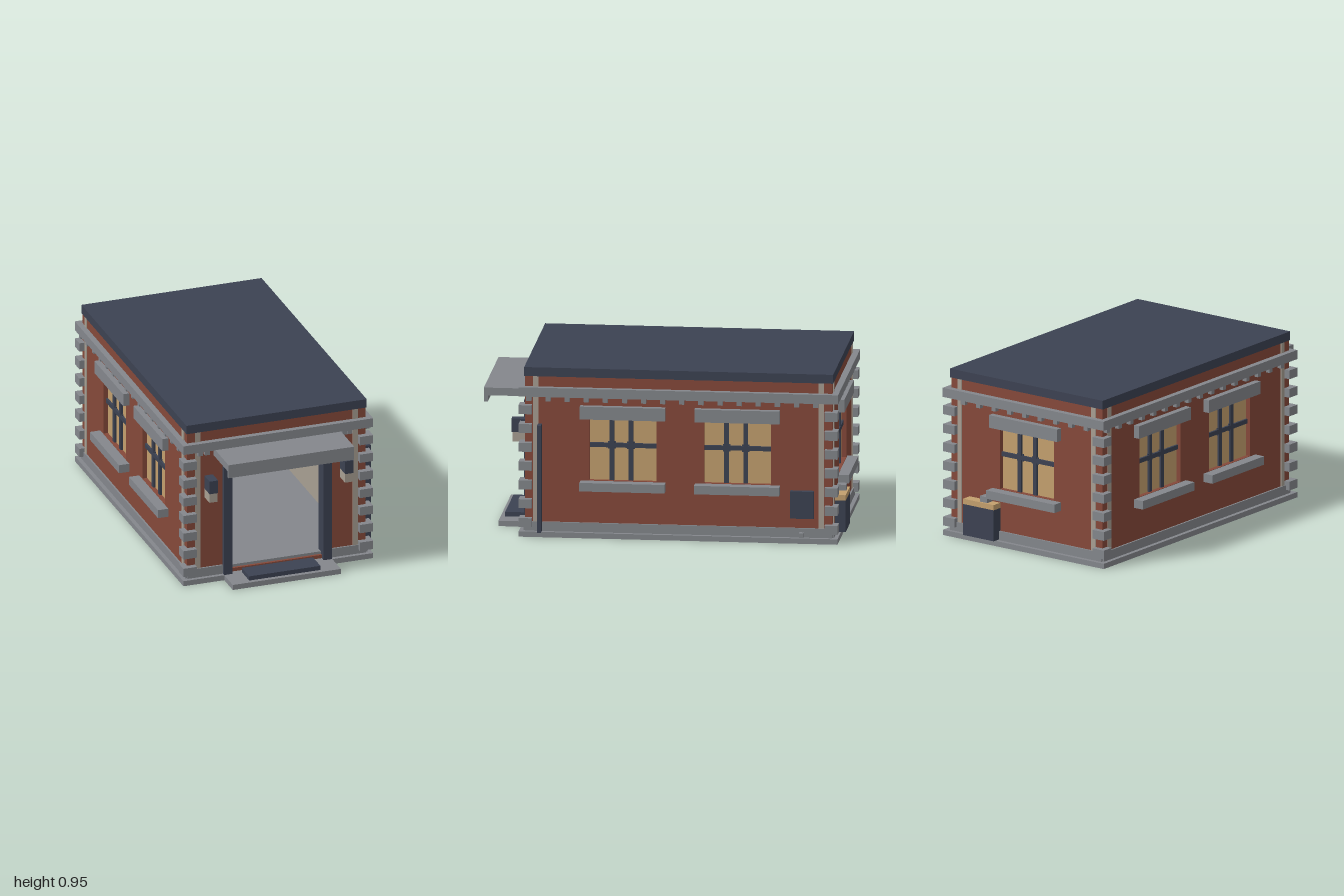
import * as THREE from 'three';

const mat = (name, color) => new THREE.MeshStandardMaterial({ name, color });

export function createModel() {
  const brick = mat('brick', 0x86493a), slate = mat('slate', 0x3c4252), stone = mat('stone', 0x84878c);
  const plaster = mat('plaster', 0xa89f93), amber = mat('amber glass', 0xc4a06e);
  const root = new THREE.Group();
  root.name = 'stationHouse';
  const ZC = -0.0925; // centre of the walls along z

  // box given by its two extreme corners
  function box(parent, name, m, x0, x1, y0, y1, z0, z1) {
    const mesh = new THREE.Mesh(new THREE.BoxGeometry(x1 - x0, y1 - y0, z1 - z0), m);
    mesh.position.set((x0 + x1) / 2, (y0 + y1) / 2, (z0 + z1) / 2);
    mesh.name = name;
    parent.add(mesh);
    return mesh;
  }
  const rect = (Type, x0, x1, y0, y1) => new Type([[x0, y0], [x1, y0], [x1, y1], [x0, y1]]
    .map(([x, y]) => new THREE.Vector2(x, y)));

  // upright plate with rectangular holes, front face at z, thickness t
  function plate(parent, name, m, r, holes, z, t) {
    const s = rect(THREE.Shape, ...r);
    holes.forEach(h => s.holes.push(rect(THREE.Path, ...h)));
    const mesh = new THREE.Mesh(new THREE.ExtrudeGeometry(s, { depth: t, bevelEnabled: false }), m);
    mesh.position.z = z - t;
    mesh.name = name;
    parent.add(mesh);
    return mesh;
  }

  // window with bars, lintel and sill; local z = 0 is the wall face
  function windowUnit(parent, u) {
    const g = new THREE.Group();
    g.name = 'window';
    g.position.x = u;
    box(g, 'glass', amber, -0.185, 0.185, 0.32, 0.67, -0.035, -0.027);
    box(g, 'crossBar', slate, -0.185, 0.185, 0.505, 0.53, -0.045, -0.015);
    for (const x of [-0.063, 0.042]) {
      box(g, 'mullion', slate, x - 0.0125, x + 0.0125, 0.32, 0.67, -0.045, -0.015);
      box(g, 'barKnot', slate, x - 0.021, x + 0.021, 0.497, 0.538, -0.05, -0.02);
    }
    box(g, 'lintel', stone, -0.235, 0.235, 0.67, 0.742, -0.02, 0.035);
    box(g, 'sill', stone, -0.235, 0.235, 0.27, 0.318, -0.02, 0.06);
    parent.add(g);
  }

  // one side of the house, built facing +z and then turned into place
  function facade(name, turn, half, out, windows, door, dentils) {
    const g = new THREE.Group();
    g.name = name;
    const holes = windows.map(u => [u - 0.185, u + 0.185, 0.32, 0.67]);
    if (door) holes.push([-0.29, 0.29, 0.05, 0.69]);
    plate(g, 'brickWall', brick, [-half, half, 0.03, 0.9], holes, 0, 0.045);
    plate(g, 'innerLining', plaster, [-half + 0.046, half - 0.046, 0.03, 0.79], holes, -0.045, 0.008);
    for (const s of [-1, 1]) {
      const c = s * (half - 0.06);
      box(g, 'cornerStrip', plaster, c - 0.015, c + 0.015, 0.08, 0.9, -0.01, 0.005);
      if (door) box(g, 'plinth', stone, s < 0 ? -half : 0.31, s < 0 ? -0.31 : half, 0.03, 0.082, -0.02, 0.01);
    }
    if (!door) box(g, 'plinth', stone, -half, half, 0.03, 0.082, -0.02, 0.01);
    windows.forEach(u => windowUnit(g, u));
    dentils.forEach(u => box(g, 'dentil', stone, u - 0.014, u + 0.014, 0.765, 0.792, -0.01, 0.025));
    g.rotation.y = turn;
    g.position.set(Math.sin(turn) * out, 0, ZC + Math.cos(turn) * out);
    root.add(g);
  }
  const row = (n, start) => Array.from({ length: n }, (_, i) => start + i * 0.1055);
  const sideRow = row(16, -0.825);
  facade('frontFacade', 0, 0.52, 0.8475, [], true, [-0.45, -0.41, 0.39, 0.42]);
  facade('backFacade', Math.PI, 0.52, 0.8475, [0], false, row(9, -0.422));
  facade('leftFacade', Math.PI / 2, 0.8475, 0.52, [-0.3075, 0.325], false, sideRow);
  facade('rightFacade', -Math.PI / 2, 0.8475, 0.52, [0.3075, -0.325], false, sideRow);

  // roof and cornice
  box(root, 'roof', slate, -0.525, 0.525, 0.9, 0.95, -0.945, 0.76);
  box(root, 'cornice', stone, -0.553, 0.553, 0.79, 0.842, -0.975, 0.787);

  // base ring, raised floor and porch step
  const base = plate(root, 'baseRing', stone, [-0.553, 0.553, -0.787, 0.972], [[-0.49, 0.49, -0.73, 0.91]], 0, 0.03);
  base.rotation.x = -Math.PI / 2;
  base.position.set(0, 0, 0);
  box(root, 'floor', stone, -0.49, 0.49, 0.035, 0.065, -0.91, 0.74);
  box(root, 'porchStep', stone, -0.315, 0.315, 0, 0.03, 0.73, 0.925);
  box(root, 'doorMat', slate, -0.21, 0.205, 0.03, 0.055, 0.78, 0.9);

  // corner blocks
  for (const x of [-0.514, 0.514]) for (const z of [0.752, -0.936]) {
    for (let i = 0; i < 7; i++) {
      const y = 0.055 + i * 0.106;
      box(root, 'cornerBlock', stone, x - 0.039, x + 0.039, y, y + 0.05, z - 0.036, z + 0.036);
    }
  }

  // doorway frame, lamps and canopy
  for (const s of [-1, 1]) {
    box(root, 'doorPost', slate, s * 0.29 - 0.025, s * 0.29 + 0.025, 0.03, 0.712, 0.7, 0.785);
    box(root, 'lampCap', slate, s * 0.395 - 0.025, s * 0.395 + 0.025, 0.557, 0.633, 0.75, 0.842);
    box(root, 'lampShade', plaster, s * 0.395 - 0.024, s * 0.395 + 0.024, 0.503, 0.557, 0.75, 0.837);
  }
  box(root, 'doorHeader', slate, -0.265, 0.265, 0.66, 0.712, 0.7, 0.785);
  box(root, 'canopy', stone, -0.366, 0.366, 0.748, 0.791, 0.75, 1);
  box(root, 'canopyLip', stone, -0.366, 0.366, 0.713, 0.75, 0.978, 1);

  // fittings on the left wall
  box(root, 'downpipe', slate, 0.515, 0.577, 0.03, 0.633, 0.662, 0.684);
  box(root, 'meterBox', slate, 0.515, 0.55, 0.14, 0.293, -0.84, -0.71);
  box(root, 'drainStub', stone, 0.515, 0.56, 0.035, 0.06, -0.785, -0.76);

  // counter running through the back wall, and the cabinet inside
  box(root, 'counter', slate, 0.183, 0.393, 0.035, 0.212, -1, -0.72);
  box(root, 'counterTop', amber, 0.183, 0.393, 0.212, 0.242, -1, -0.72);
  box(root, 'counterFitting', stone, 0.235, 0.285, 0.242, 0.275, -0.99, -0.93);
  box(root, 'counterCase', plaster, 0.21, 0.36, 0.242, 0.37, -0.88, -0.8);
  box(root, 'cabinet', slate, -0.45, -0.28, 0.065, 0.65, 0.16, 0.524);

  return root;
}
